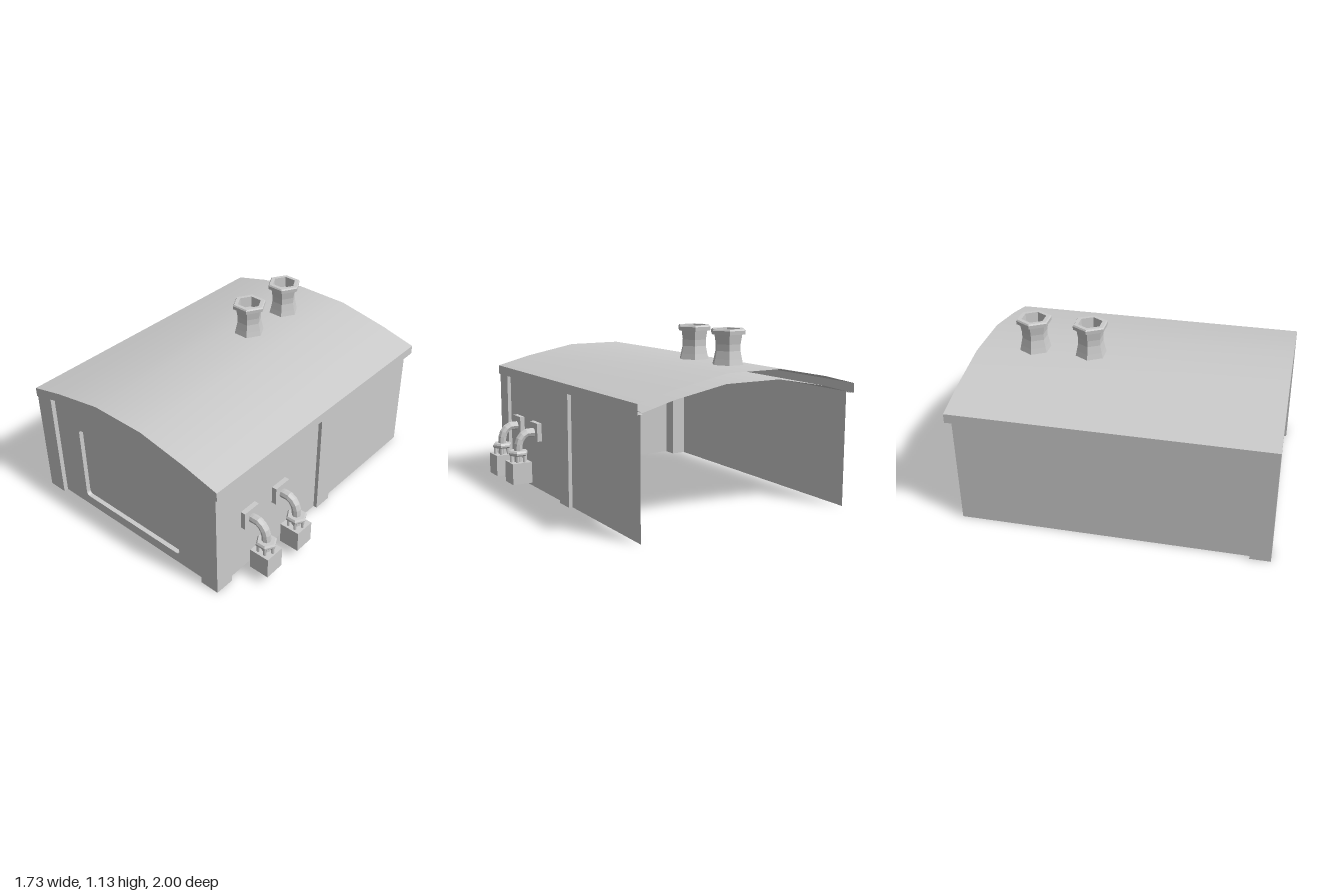
import * as THREE from 'three';

const CX = -0.09; // centre line of the building
const flat = new THREE.MeshStandardMaterial({ color: 0xcccccc, flatShading: true, side: THREE.DoubleSide });
const smooth = new THREE.MeshStandardMaterial({ color: 0xcccccc, side: THREE.DoubleSide });

function add(parent, name, geo, x = 0, y = 0, z = 0, mat = flat) {
  const m = new THREE.Mesh(geo, mat);
  m.name = name;
  m.position.set(x, y, z);
  parent.add(m);
  return m;
}

// Box without its bottom face
function openBox(w, h, d) {
  const g = new THREE.BoxGeometry(w, h, d);
  const idx = Array.from(g.index.array);
  idx.splice(18, 6);
  g.setIndex(idx);
  g.clearGroups();
  return g;
}

// Sheet swept along z from an open [x, y] profile
function sheet(profile, z0, z1) {
  const pos = [], idx = [];
  profile.forEach(([x, y], i) => {
    pos.push(x, y, z1, x, y, z0);
    if (i) {
      const a = 2 * i - 2;
      idx.push(a, a + 2, a + 1, a + 1, a + 2, a + 3);
    }
  });
  const g = new THREE.BufferGeometry();
  g.setAttribute('position', new THREE.Float32BufferAttribute(pos, 3));
  g.setIndex(idx);
  g.computeVertexNormals();
  return g;
}

// Half profile mirrored to run from left to right
const mirror = (half) => [...half.map(([x, y]) => [-x, y]), ...half.slice().reverse()];
const toShape = (pts) => new THREE.Shape(pts.map(([x, y]) => new THREE.Vector2(x, y)));

function roundedRect(path, x0, y0, x1, y1, r) {
  path.moveTo(x0 + r, y0);
  path.lineTo(x1 - r, y0);
  path.absarc(x1 - r, y0 + r, r, -Math.PI / 2, 0);
  path.lineTo(x1, y1 - r);
  path.absarc(x1 - r, y1 - r, r, 0, Math.PI / 2);
  path.lineTo(x0 + r, y1);
  path.absarc(x0 + r, y1 - r, r, Math.PI / 2, Math.PI);
  path.lineTo(x0, y0 + r);
  path.absarc(x0 + r, y0 + r, r, Math.PI, Math.PI * 1.5);
  return path;
}

function makeBuilding() {
  const b = new THREE.Group();
  b.name = 'building';
  b.position.x = CX;

  // Curved roof, ceiling, eaves and front fascia
  const outer = mirror([[0.775, 0.79], [0.5375, 0.85], [0.19, 0.915]]);
  const inner = mirror([[0.765, 0.73], [0.5375, 0.79], [0.19, 0.853]]);
  add(b, 'roof', sheet(outer, -1, 1), 0, 0, 0, smooth);
  add(b, 'ceiling', sheet(inner, -0.99, 1), 0, 0, 0, smooth);
  for (const s of [-1, 1]) {
    add(b, 'eave', sheet([[s * 0.775, 0.79], [s * 0.775, 0.73], [s * 0.74, 0.73]], -1, 1));
    add(b, 'sideWall', sheet([[s * 0.74, 0], [s * 0.74, 0.74]], -0.97, 0.97));
    add(b, 'cornerPillar', openBox(0.13, 0.765, 0.13), s * 0.7, 0.3825, 0.935);
  }
  add(b, 'middlePillar', openBox(0.13, 0.765, 0.13), 0.7, 0.3825, -0.05);
  const fascia = toShape([[-0.775, 0.73], ...outer, [0.775, 0.73], ...inner.slice().reverse()]);
  add(b, 'frontFascia', new THREE.ShapeGeometry(fascia), 0, 0, 1);

  // Front wall with a shallow recessed panel
  const wall = toShape([[-0.74, 0], [0.74, 0], [0.74, 0.737], ...inner.slice(1, -1).reverse(), [-0.74, 0.737]]);
  const rect = [-0.425, 0.07, 0.425, 0.612, 0.025];
  const hole = roundedRect(new THREE.Path(), ...rect);
  wall.holes.push(hole);
  add(b, 'frontWall', new THREE.ShapeGeometry(wall, 4), 0, 0, 0.97);
  const panel = roundedRect(new THREE.Shape(), ...rect);
  add(b, 'frontPanel', new THREE.ShapeGeometry(panel, 4), 0, 0, 0.94);
  const rim = hole.getPoints(4).map((p) => [p.x, p.y]);
  add(b, 'panelRim', sheet([...rim, rim[0]], 0.94, 0.97));
  return b;
}

// Six-sided chimney with a waisted body and hollow collar
function makeChimney(z) {
  const pts = [[0.108, 0.895], [0.094, 0.95], [0.083, 1.0], [0.083, 1.04], [0.093, 1.1], [0.113, 1.1],
    [0.115, 1.123], [0.108, 1.132], [0.08, 1.132], [0.075, 1.06], [0, 1.06]];
  const geo = new THREE.LatheGeometry(pts.map(([r, y]) => new THREE.Vector2(r, y)), 6, Math.PI / 6);
  const g = new THREE.Group();
  g.name = 'chimney';
  add(g, 'chimneyBody', geo, -0.16, 0, z);
  return g;
}

// Wall pipe bending down to a collar, posts and a hanging box
function makePipe(z) {
  const g = new THREE.Group();
  g.name = 'wallPipe';
  g.position.z = z;
  const X = 0.795;
  add(g, 'wallPlate', new THREE.BoxGeometry(0.045, 0.122, 0.126), 0.66, 0.404, 0);
  const path = new THREE.CatmullRomCurve3([[0.67, 0.397], [0.74, 0.397], [0.785, 0.352], [0.797, 0.2]]
    .map(([x, y]) => new THREE.Vector3(x, y, 0)));
  add(g, 'elbow', new THREE.TubeGeometry(path, 9, 0.029, 8));
  const collar = [[0.02, 0.255], [0.06, 0.255], [0.067, 0.263], [0.067, 0.275], [0.058, 0.287], [0.02, 0.287]];
  add(g, 'collar', new THREE.LatheGeometry(collar.map(([r, y]) => new THREE.Vector2(r, y)), 6, Math.PI / 6), X);
  for (let i = 0; i < 6; i++) {
    const a = (i * Math.PI) / 3;
    add(g, 'post', new THREE.CylinderGeometry(0.01, 0.01, 0.06, 6),
      X + 0.05 * Math.cos(a), 0.235, 0.05 * Math.sin(a));
  }
  add(g, 'hangingBox', openBox(0.136, 0.142, 0.134), X, 0.141, 0);
  return g;
}

export function createModel() {
  const model = new THREE.Group();
  model.name = 'shed';
  model.add(makeBuilding());
  for (const z of [-0.64, -0.27]) model.add(makeChimney(z));
  for (const z of [0.405, 0.695]) model.add(makePipe(z));
  return model;
}
